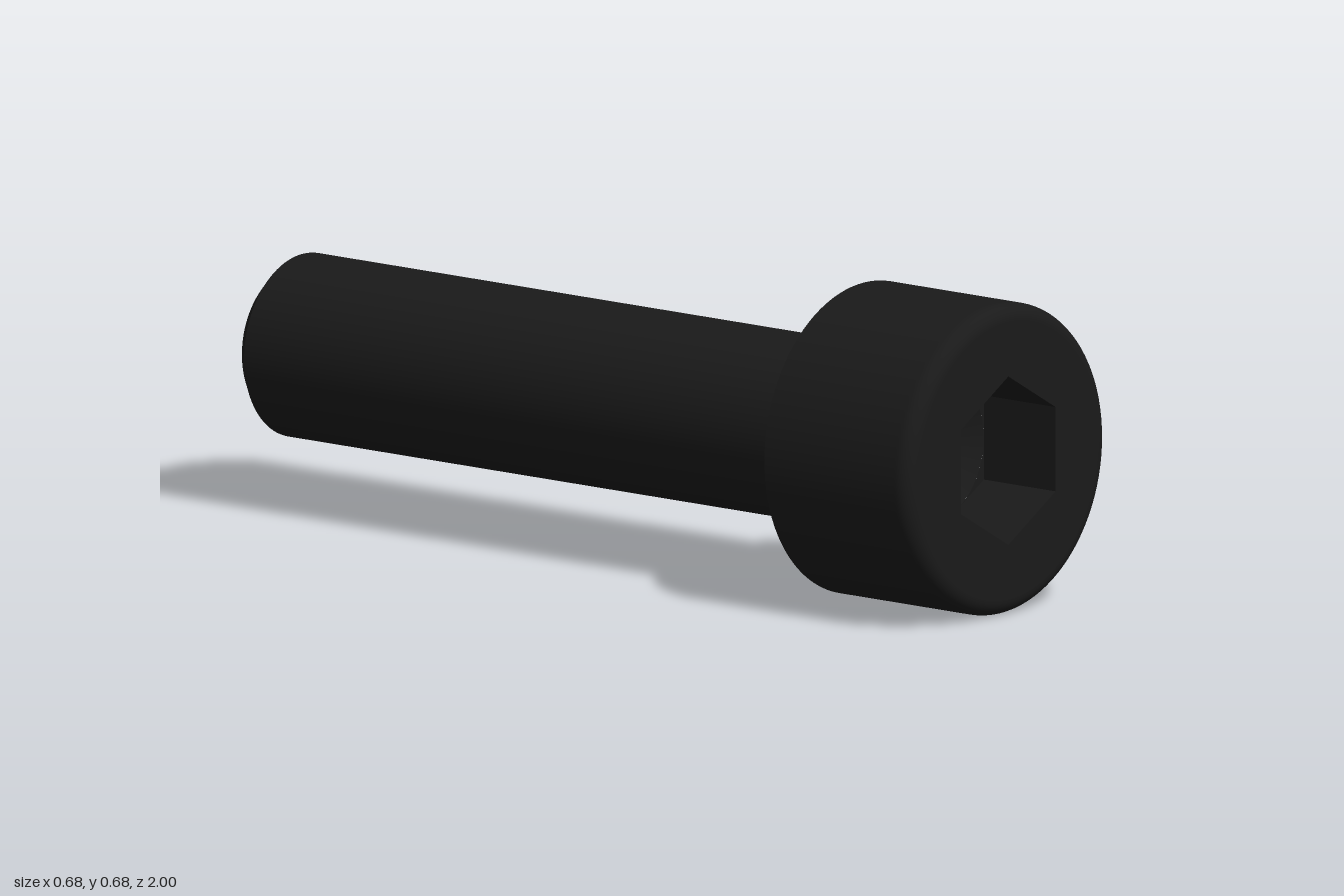
import * as THREE from 'three';

const SEG = 96;
const AXIS_Y = 0.34;
const HEAD_R = 0.34, ROUND = 0.035, FACE_R = HEAD_R - ROUND;
const SHAFT_R = 0.2, TIP_R = 0.165;
const HEX_R = 0.185, BORE_R = HEX_R * Math.cos(Math.PI / 6);
const FLOOR_Z = 0.8;

export function createModel() {
  const screw = new THREE.Group();
  screw.name = 'socketHeadScrew';
  const steel = new THREE.MeshStandardMaterial({ color: 0x1a1a1a });
  const facetedSteel = new THREE.MeshStandardMaterial({ color: 0x1a1a1a, flatShading: true });

  const add = (name, geometry, material = steel) => {
    const mesh = new THREE.Mesh(geometry, material);
    mesh.name = name;
    screw.add(mesh);
    return mesh;
  };

  // Surface turned around the z axis from [radius, z] pairs; rising z faces outward
  const turned = (name, profile, segments = SEG, material = steel) => {
    const points = profile.map(([r, z]) => new THREE.Vector2(r, z));
    return add(name, new THREE.LatheGeometry(points, segments).rotateX(Math.PI / 2), material);
  };

  // Shank: flat tip, chamfer, then a body that flares into the head
  turned('tipFace', [[0, -1], [TIP_R, -1]]);
  turned('tipChamfer', [[TIP_R, -1], [SHAFT_R, -0.965]]);
  turned('shaft', [[SHAFT_R, -0.965], [SHAFT_R, 0.55]]);
  turned('neckFillet', [[SHAFT_R, 0.55], [0.203, 0.56], [0.211, 0.574], [0.221, 0.588], [0.23, 0.6]]);

  // Head: underside, wall and rounded front rim
  turned('headUnderside', [[0.23, 0.6], [HEAD_R, 0.6]]);
  const wall = [[HEAD_R, 0.6], [HEAD_R, 0.96]];
  for (let i = 0; i <= 10; i++) {
    const a = (i / 10) * Math.PI / 2;
    wall.push([FACE_R + ROUND * Math.cos(a), 1 - ROUND + ROUND * Math.sin(a)]);
  }
  turned('headWall', wall);

  const hexPoints = Array.from({ length: 6 }, (_, i) => {
    const a = Math.PI / 2 + (i * Math.PI) / 3;
    return new THREE.Vector2(HEX_R * Math.cos(a), HEX_R * Math.sin(a));
  });

  // Front face with the hexagonal opening
  const face = new THREE.Shape().absarc(0, 0, FACE_R, 0, Math.PI * 2);
  face.holes.push(new THREE.Path(hexPoints));
  add('headFace', new THREE.ShapeGeometry(face, SEG)).position.z = 1;

  // Socket: six flat walls, corner ledges and a conical drilled bottom
  turned('socketWalls', [[HEX_R, 1], [HEX_R, FLOOR_Z]], 6, facetedSteel);
  const ledge = new THREE.Shape(hexPoints);
  ledge.holes.push(new THREE.Path().absarc(0, 0, BORE_R * 0.995, 0, Math.PI * 2));
  add('socketLedge', new THREE.ShapeGeometry(ledge, SEG)).position.z = FLOOR_Z;
  turned('socketCone', [[BORE_R * 0.995, FLOOR_Z], [0, FLOOR_Z - 0.092]]);

  screw.position.y = AXIS_Y;
  const model = new THREE.Group();
  model.add(screw);
  return model;
}
